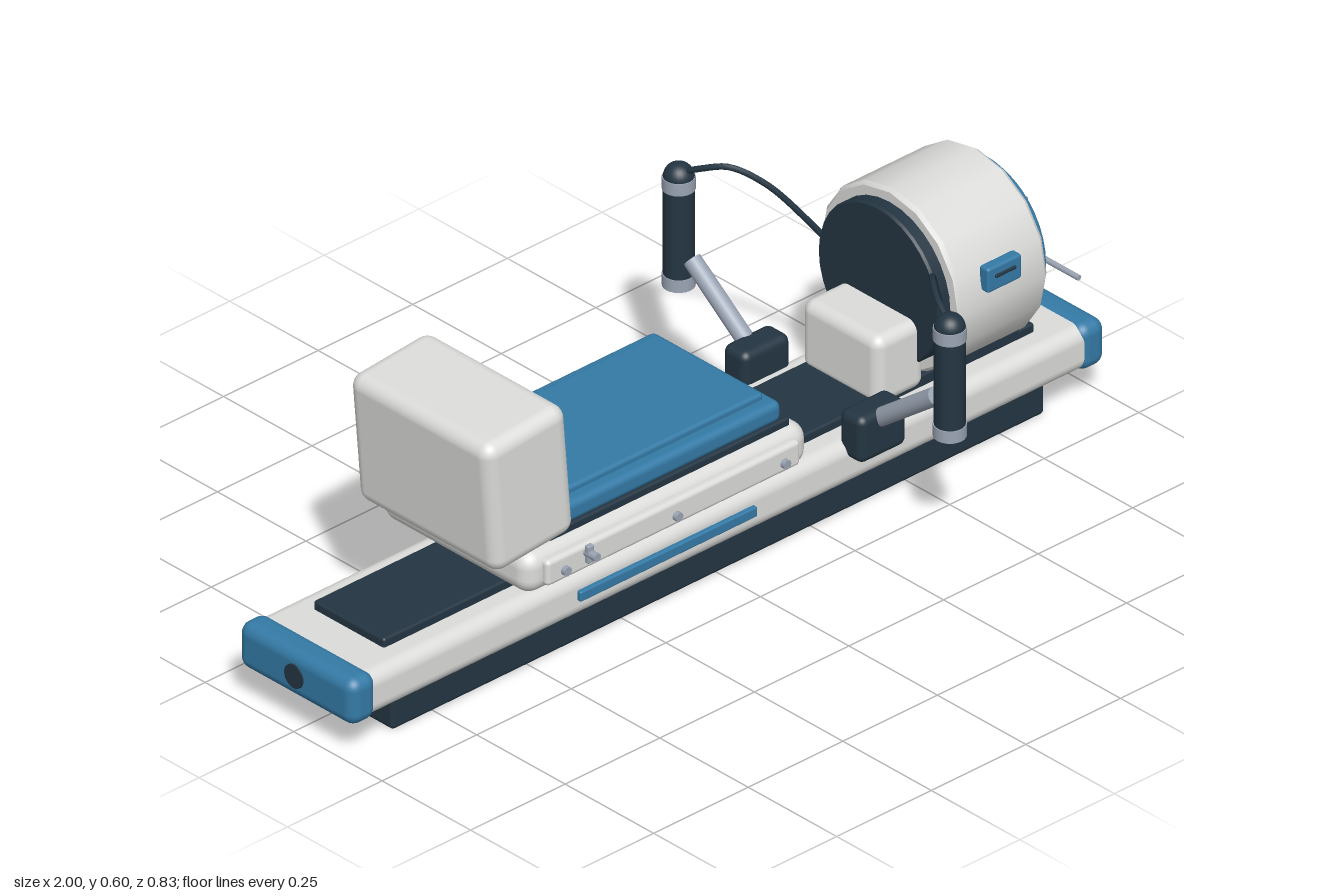
import * as THREE from 'three';
import { toCreasedNormals } from 'three/addons/utils/BufferGeometryUtils.js';
import { RoundedBoxGeometry } from 'three/addons/geometries/RoundedBoxGeometry.js';

const material = (name, color) => {
  const m = new THREE.MeshStandardMaterial({ color });
  m.name = name;
  return m;
};

export function createModel() {
  const white = material('shell white', 0xdcdcda);
  const blue = material('accent blue', 0x347aa6);
  const dark = material('dark slate', 0x233542);
  const steel = material('steel grey', 0x9aa4b3);

  const model = new THREE.Group();
  model.name = 'rowingMachine';

  const add = (name, geometry, mat, parent = model) => {
    const mesh = new THREE.Mesh(geometry, mat);
    mesh.name = name;
    parent.add(mesh);
    return mesh;
  };
  // Rounded box given by its extents
  const box = (name, mat, [x0, x1], [y0, y1], [z0, z1], r = 0.01, parent = model) => {
    const mesh = add(name, new RoundedBoxGeometry(x1 - x0, y1 - y0, z1 - z0, 4, r), mat, parent);
    mesh.position.set((x0 + x1) / 2, (y0 + y1) / 2, (z0 + z1) / 2);
    return mesh;
  };
  // Cylinder between two points
  const rod = (name, mat, a, b, r, parent = model, sides = 24) => {
    const p = new THREE.Vector3(...a), q = new THREE.Vector3(...b);
    const mesh = add(name, new THREE.CylinderGeometry(r, r, p.distanceTo(q), sides), mat, parent);
    mesh.position.copy(p).add(q).multiplyScalar(0.5);
    mesh.quaternion.setFromUnitVectors(new THREE.Vector3(0, 1, 0), q.sub(p).normalize());
    return mesh;
  };
  // Lathe turned about the x axis, profile given as [radius, x]
  const turned = (name, mat, profile, sides, parent) => {
    const g = new THREE.LatheGeometry(profile.map(([r, x]) => new THREE.Vector2(r, x)), sides);
    g.rotateZ(-Math.PI / 2);
    return add(name, toCreasedNormals(g, 0.6), mat, parent);
  };

  // Base, rail and track
  box('base', dark, [-0.86, 0.865], [0, 0.076], [-0.13, 0.13], 0.01);
  box('rail', white, [-0.975, 0.975], [0.075, 0.173], [-0.16, 0.16], 0.03);
  box('track', dark, [-0.855, 0.865], [0.165, 0.192], [-0.1, 0.1], 0.006);
  for (const s of [-1, 1]) {
    const cap = box('endCap', blue, [-0.035, 0.035], [0.073, 0.177], [-0.164, 0.164], 0.026);
    cap.position.x = s * 0.963;
  }
  rod('endPlug', dark, [-1.001, 0.125, 0], [-0.98, 0.125, 0], 0.026);

  // Sliding seat carriage
  const seat = new THREE.Group();
  seat.name = 'seat';
  model.add(seat);
  box('carriage', white, [-0.58, 0.17], [0.213, 0.307], [-0.212, 0.212], 0.035, seat);
  box('carriageUnderside', white, [-0.52, 0.11], [0.198, 0.22], [-0.15, 0.15], 0.008, seat);
  for (const x of [-0.5, 0.1]) for (const z of [-0.11, 0.11])
    rod('roller', dark, [x, 0.207, z - 0.03], [x, 0.207, z + 0.03], 0.018, seat);
  box('cushionTray', dark, [-0.5, 0.137], [0.3, 0.322], [-0.188, 0.188], 0.006, seat);
  box('cushion', blue, [-0.5, 0.122], [0.316, 0.362], [-0.182, 0.182], 0.015, seat);
  box('cushionTop', blue, [-0.5, 0.1], [0.35, 0.376], [-0.152, 0.152], 0.008, seat);
  const back = box('backrest', white, [-0.663, -0.447], [0.297, 0.595], [-0.2, 0.2], 0.03, seat);
  back.rotation.z = 0.085;

  // Drum with grille
  const drum = new THREE.Group();
  drum.name = 'drum';
  drum.position.y = 0.37;
  model.add(drum);
  turned('drumShell', white, [[0, 0.575], [0.193, 0.575], [0.2, 0.583], [0.2, 0.8], [0.192, 0.81], [0, 0.81]], 16, drum);
  turned('drumBackPlate', dark, [[0, 0.545], [0.168, 0.545], [0.172, 0.55], [0.172, 0.58], [0, 0.58]], 32, drum);
  turned('drumRing', blue,
    [[0.155, 0.805], [0.174, 0.805], [0.176, 0.812], [0.172, 0.828], [0.164, 0.835], [0.155, 0.832], [0.155, 0.805]], 40, drum);
  rod('drumFace', dark, [0.8, 0, 0], [0.825, 0, 0], 0.157, drum, 40);
  for (const z of [-0.105, 0, 0.105])
    rod('grilleBar', steel, [0.835, -0.12, z], [0.835, 0.12, z], 0.006, drum, 12);
  rod('pullBar', steel, [0.842, 0, -0.25], [0.842, 0, 0.25], 0.006, drum, 12);

  // Drum supports
  box('drumStand', white, [0.44, 0.57], [0.175, 0.33], [-0.11, 0.11], 0.025);
  box('drumFoot', dark, [0.56, 0.825], [0.17, 0.198], [-0.1, 0.1], 0.006);

  // Parts repeated on both sides
  for (const s of [1, -1]) {
    const side = new THREE.Group();
    side.name = s > 0 ? 'frontSide' : 'backSide';
    model.add(side);
    const zs = (a, b) => (s > 0 ? [a, b] : [-b, -a]);

    box('railStripe', blue, [-0.4, 0.068], [0.117, 0.14], zs(0.155, 0.17), 0.004, side);
    box('seatRail', white, [-0.54, 0.13], [0.233, 0.29], zs(0.2, 0.226), 0.01, side);
    for (const x of [-0.495, -0.2, 0.085])
      rod('bolt', steel, [x, 0.256, s * 0.215], [x, 0.256, s * 0.236], 0.01, side, 12);
    rod('latch', steel, [-0.437, 0.273, s * 0.215], [-0.437, 0.273, s * 0.257], 0.009, side, 12);
    box('latchLever', steel, [-0.445, -0.429], [0.253, 0.292], zs(0.228, 0.24), 0.003, side);
    box('drumBadge', blue, [0.638, 0.728], [0.4, 0.455], zs(0.185, 0.211), 0.006, side);
    box('badgeMark', dark, [0.656, 0.71], [0.43, 0.437], zs(0.207, 0.215), 0.002, side);

    // Arm and handle
    box('armPivot', dark, [0.315, 0.44], [0.138, 0.242], zs(0.131, 0.198), 0.018, side);
    rod('arm', steel, [0.376, 0.205, s * 0.165], [0.376, 0.34, s * 0.345], 0.019, side);
    const hz = s * 0.383;
    rod('grip', dark, [0.376, 0.29, hz], [0.376, 0.515, hz], 0.031, side);
    for (const y of [0.268, 0.486])
      rod('gripCollar', steel, [0.376, y, hz], [0.376, y + 0.027, hz], 0.033, side);
    const dome = add('gripDome', new THREE.SphereGeometry(0.031, 24, 10, 0, Math.PI * 2, 0, Math.PI / 2), dark, side);
    dome.position.set(0.376, 0.512, hz);

    // Cable from handle to drum
    const path = new THREE.CatmullRomCurve3([
      [0.378, 0.525, 0.375], [0.39, 0.545, 0.335], [0.42, 0.557, 0.287],
      [0.47, 0.52, 0.235], [0.53, 0.437, 0.182], [0.56, 0.39, 0.16],
    ].map(([x, y, z]) => new THREE.Vector3(x, y, s * z)));
    add('cable', new THREE.TubeGeometry(path, 32, 0.0065, 8), dark, side);
  }

  return model;
}
